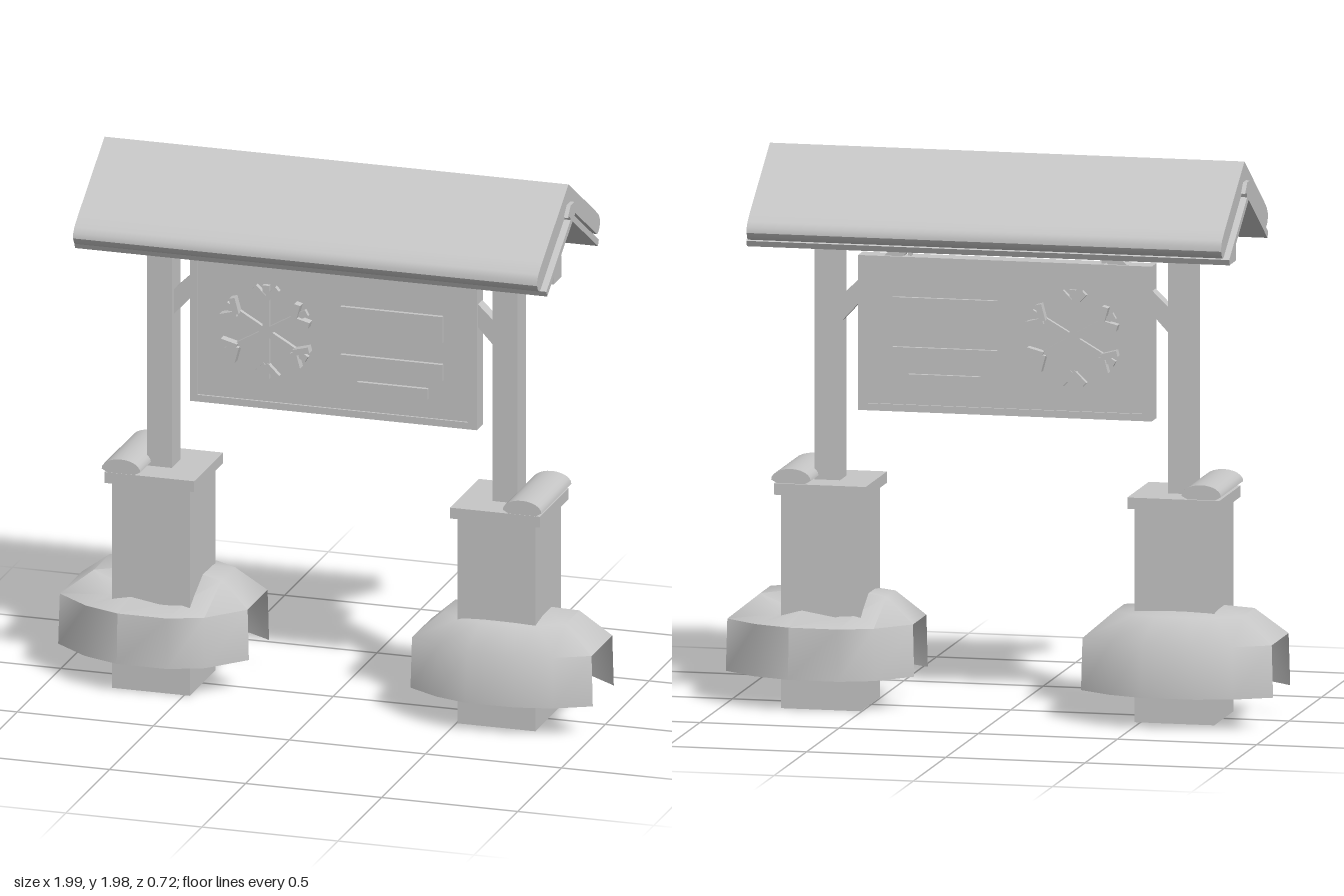
import * as THREE from 'three';
import { toCreasedNormals } from 'three/addons/utils/BufferGeometryUtils.js';

const grey = new THREE.MeshStandardMaterial({ color: 0xc6c6c6, side: THREE.DoubleSide });
grey.name = 'plain grey';

const CX = 0.0125; // middle of the shelter along x

function add(parent, name, geometry) {
  const mesh = new THREE.Mesh(geometry, grey);
  mesh.name = name;
  parent.add(mesh);
  return mesh;
}

// Box from its lower and upper corners
function box(parent, name, [x0, y0, z0], [x1, y1, z1]) {
  const mesh = add(parent, name, new THREE.BoxGeometry(x1 - x0, y1 - y0, z1 - z0));
  mesh.position.set((x0 + x1) / 2, (y0 + y1) / 2, (z0 + z1) / 2);
  return mesh;
}

// Outline in x and y, pushed along z
function extrudeZ(points, z0, z1) {
  const shape = new THREE.Shape(points.map(([x, y]) => new THREE.Vector2(x, y)));
  return new THREE.ExtrudeGeometry(shape, { depth: z1 - z0, bevelEnabled: false }).translate(0, 0, z0);
}

// Outline in z and y, pushed along x
function extrudeX(points, x0, x1) {
  return extrudeZ(points, 0, x1 - x0).rotateY(-Math.PI / 2).translate(x1, 0, 0);
}

// Completes a half outline with its mirror image
const mirrored = (half) => [...half, ...half.map(([a, y]) => [-a, y]).reverse()];

// Roof: thick snow slab, thin boards and ridge piece
function buildRoof(parent) {
  const roof = new THREE.Group();
  roof.name = 'roof';
  parent.add(roof);
  const slope = 0.636;
  const snow = [[0, 1.98], [0.3, 1.789], [0.345, 1.757], [0.358, 1.738], [0.36, 1.72],
    [0.35, 1.702], [0.335, 1.692], [0.32, 1.694]];
  const outline = [...snow, [0, 1.9], ...snow.slice(1).reverse().map(([z, y]) => [-z, y])];
  add(roof, 'roofSnow', toCreasedNormals(extrudeX(outline, -0.84, 0.865), 0.5));
  const boards = [[0, 1.872], [0.3, 1.872 - 0.3 * slope], [0.29, 1.845 - 0.29 * slope], [0, 1.845],
    [-0.29, 1.845 - 0.29 * slope], [-0.3, 1.872 - 0.3 * slope]];
  add(roof, 'roofBoards', extrudeX(boards, -0.855, 0.88));
  const ridge = mirrored([[0.022, 1.91], [0.055, 1.875], [0.03, 1.872], [0.022, 1.855]]);
  add(roof, 'ridgePiece', extrudeX(ridge, -0.855, 0.88));
}

// Drift: a skirt around the pillar, with its two end walls left open
function driftGeometry() {
  const plan = [[0.355, -0.09], [0.355, 0.15], [0.23, 0.215], [0.1, 0.245], [-0.08, 0.25], [-0.2, 0.215],
    [-0.315, 0.15], [-0.315, -0.06], [-0.2, -0.18], [-0.08, -0.225], [0.1, -0.225], [0.23, -0.18]];
  const n = plan.length;
  const openSides = [0, 6];
  const levels = [
    { y: () => 0.115, s: 1 },
    { y: () => 0.3, s: 0.985 },
    { y: (z, i) => (z > -0.1 ? 0.39 : 0.35 - 0.02 * (i % 2)), s: 0.67 },
    { y: (z) => (z > -0.1 ? 0.405 : 0.32), s: 0.3 },
  ];
  const position = [];
  const index = [];
  levels.forEach(({ y, s }) => plan.forEach(([x, z], i) => {
    position.push(x * s, y(z, i), z * s);
  }));
  for (let k = 0; k < levels.length - 1; k++) {
    for (let i = 0; i < n; i++) {
      if (k === 0 && openSides.includes(i)) continue;
      const j = (i + 1) % n;
      const a = k * n + i, b = k * n + j, c = a + n, d = b + n;
      index.push(a, c, b, b, c, d);
    }
  }
  const geometry = new THREE.BufferGeometry();
  geometry.setAttribute('position', new THREE.Float32BufferAttribute(position, 3));
  geometry.setIndex(index);
  geometry.computeVertexNormals();
  return toCreasedNormals(geometry, 0.9);
}

// Pillar with cap, post, brace and snow; side is -1 or 1
function buildSupport(parent, side) {
  const group = new THREE.Group();
  group.name = side > 0 ? 'leftSupport' : 'rightSupport';
  parent.add(group);
  const px = CX + side * 0.635;
  box(group, 'pillar', [px - 0.143, 0, -0.147], [px + 0.143, 0.76, 0.147]);
  box(group, 'pillarCap', [px - 0.165, 0.76, -0.165], [px + 0.165, 0.8, 0.165]);
  box(group, 'post', [px - 0.046, 0.8, -0.05], [px + 0.046, 1.66, 0.05]);

  // Diagonal brace from post to beam
  const brace = [[0.59, 1.36], [0.59, 1.452], [0.41, 1.625], [0.345, 1.625]]
    .map(([x, y]) => [CX + side * x, y]);
  add(group, 'brace', extrudeZ(brace, -0.025, 0.025));

  // Rounded snow roll on the cap
  const roll = [];
  for (let i = 0; i <= 12; i++) {
    const a = (i / 12) * Math.PI;
    roll.push([CX + side * 0.737 + 0.071 * Math.cos(a), 0.815 + 0.04 * Math.sin(a)]);
  }
  roll.push([CX + side * 0.737 - 0.05, 0.803], [CX + side * 0.737 + 0.05, 0.803]);
  add(group, 'capSnow', toCreasedNormals(extrudeZ(roll, -0.172, 0.172), 0.6));

  const drift = add(group, 'snowDrift', driftGeometry());
  drift.position.set(px, 0, side > 0 ? 0 : -0.03);
  if (side < 0) {
    drift.rotation.y = Math.PI;
    drift.scale.set(1.03, 1, 1.1);
  }
}

// Six-armed flake with forked tips
function buildFlake(parent) {
  const flake = new THREE.Group();
  flake.name = 'snowflake';
  flake.position.set(-0.233, 1.335, 0);
  parent.add(flake);
  for (let i = 0; i < 6; i++) {
    const arm = new THREE.Group();
    arm.name = 'flakeArm';
    arm.rotation.z = (i * Math.PI) / 3;
    flake.add(arm);
    box(arm, 'armBar', [-0.012, 0, 0.02], [0.012, 0.172, 0.045]);
    const front = i % 3 === 0 ? 0.048 : 0.062;
    for (const s of [-1, 1]) {
      const fork = box(arm, 'armFork', [-0.011, 0.0, 0.02], [0.011, 0.06, front]);
      fork.position.set(s * 0.021, 0.142, (0.02 + front) / 2);
      fork.rotation.z = -s * Math.PI / 4;
    }
  }
}

// Hanging board with frame, and raised details on both faces
function buildSign(parent) {
  const sign = new THREE.Group();
  sign.name = 'signBoard';
  parent.add(sign);
  box(sign, 'panel', [-0.5, 1.06, -0.028], [0.52, 1.59, 0.028]);
  box(sign, 'frameSideRight', [-0.515, 1.05, -0.036], [-0.487, 1.6, 0.036]);
  box(sign, 'frameSideLeft', [0.507, 1.05, -0.036], [0.54, 1.6, 0.036]);
  box(sign, 'frameTop', [-0.487, 1.573, -0.036], [0.507, 1.6, 0.036]);
  box(sign, 'frameBottom', [-0.487, 1.05, -0.036], [0.507, 1.075, 0.036]);
  for (const x of [-0.335, 0.36]) box(sign, 'hanger', [x - 0.006, 1.595, -0.01], [x + 0.006, 1.625, 0.01]);
  for (const turn of [0, 1]) {
    const face = new THREE.Group();
    face.name = turn ? 'backDetails' : 'frontDetails';
    if (turn) face.scale.z = -1;
    sign.add(face);
    buildFlake(face);
    box(face, 'wideBar', [0.04, 1.36, 0.02], [0.415, 1.457, 0.043]);
    box(face, 'middleBar', [0.04, 1.22, 0.02], [0.415, 1.28, 0.043]);
    box(face, 'shortBar', [0.1, 1.145, 0.02], [0.36, 1.185, 0.043]);
  }
}

export function createModel() {
  const model = new THREE.Group();
  model.name = 'snowySignShelter';
  buildRoof(model);
  box(model, 'beam', [-0.8, 1.62, -0.043], [0.825, 1.7, 0.043]);
  for (const side of [-1, 1]) buildSupport(model, side);
  buildSign(model);
  return model;
}
